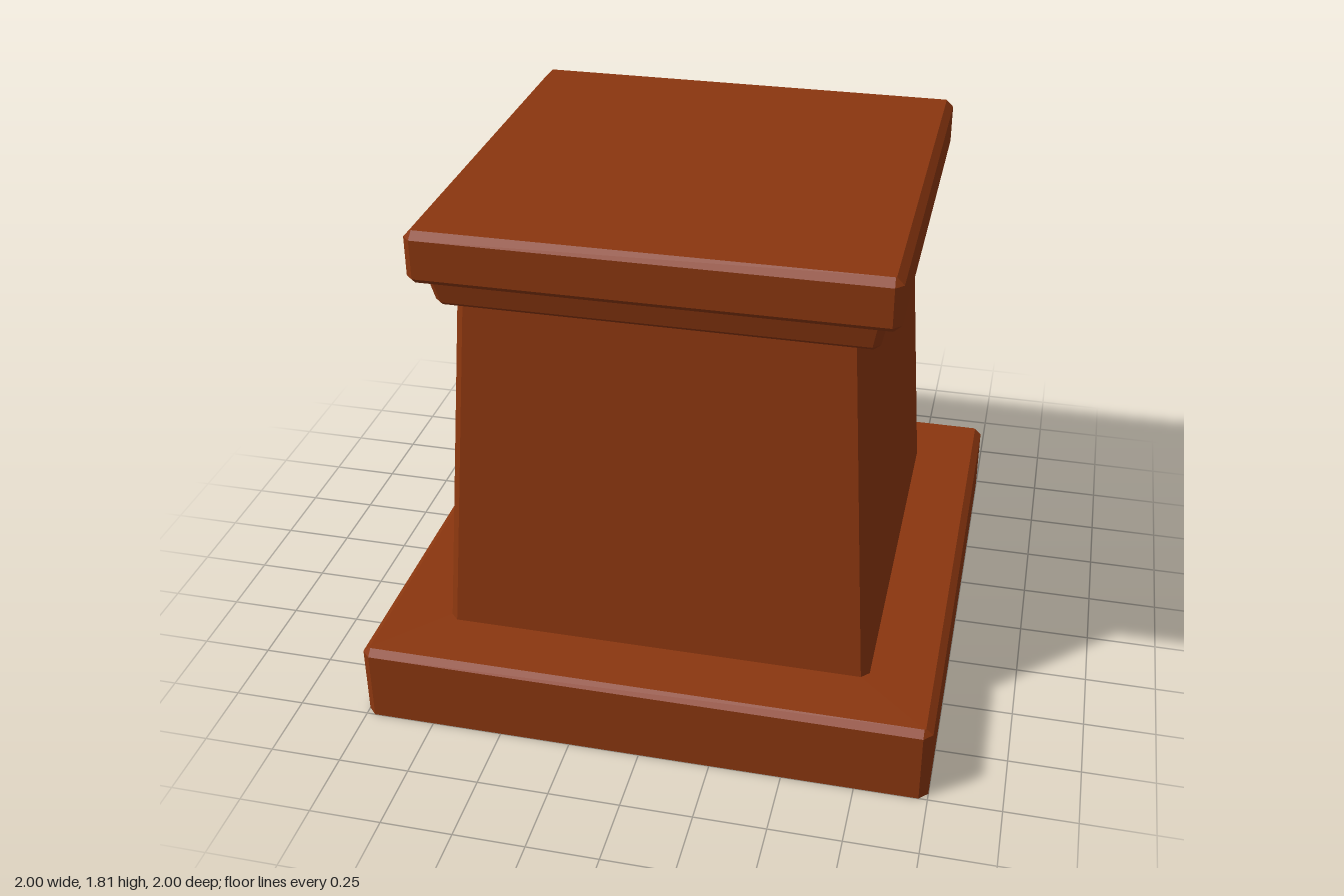
import * as THREE from 'three';

const material = new THREE.MeshStandardMaterial({ color: 0x8a360f, flatShading: true, side: THREE.DoubleSide });

// Square cross-section with cut corners, counter-clockwise from above
function ring([half, cut, y]) {
  const inner = half - cut;
  const points = [];
  for (let q = 0; q < 4; q++) {
    const turn = q * Math.PI / 2;
    for (const [u, v] of [[half, inner], [inner, half]]) {
      const x = u * Math.cos(turn) - v * Math.sin(turn);
      const z = -(u * Math.sin(turn) + v * Math.cos(turn));
      points.push(new THREE.Vector3(x, y, z));
    }
  }
  return points;
}

// Open shell through sections of [half width, corner cut, height]
function shell(name, sections, closedTop = false) {
  const rings = sections.map(ring);
  const positions = [];
  const triangle = (a, b, c) => {
    if (new THREE.Triangle(a, b, c).getArea() < 1e-7) return;
    for (const p of [a, b, c]) positions.push(p.x, p.y, p.z);
  };
  for (let k = 0; k < rings.length - 1; k++) {
    for (let i = 0; i < 8; i++) {
      const j = (i + 1) % 8;
      triangle(rings[k][i], rings[k][j], rings[k + 1][j]);
      triangle(rings[k][i], rings[k + 1][j], rings[k + 1][i]);
    }
  }
  if (closedTop) {
    const top = rings[rings.length - 1];
    const centre = new THREE.Vector3(0, top[0].y, 0);
    for (let i = 0; i < 8; i++) triangle(centre, top[i], top[(i + 1) % 8]);
  }
  const geometry = new THREE.BufferGeometry();
  geometry.setAttribute('position', new THREE.Float32BufferAttribute(positions, 3));
  geometry.computeVertexNormals();
  const mesh = new THREE.Mesh(geometry, material);
  mesh.name = name;
  return mesh;
}

export function createModel() {
  const group = new THREE.Group();
  group.name = 'pedestal';

  // Hollow plinth, open below and into the shaft
  group.add(shell('plinth', [
    [1, 0.03, 0], [1, 0.03, 0.258], [0.975, 0.005, 0.28], [0.755, 0.027, 0.28],
  ]));

  // Tapered shaft
  group.add(shell('shaft', [[0.755, 0.027, 0.28], [0.672, 0.027, 1.527]]));

  // Flared moulding under the cap
  group.add(shell('moulding', [
    [0.672, 0.027, 1.527], [0.705, 0.005, 1.527], [0.724, 0.024, 1.543], [0.742, 0.026, 1.628],
  ]));

  // Bevelled cap slab
  group.add(shell('cap', [
    [0.742, 0.026, 1.628], [0.766, 0.003, 1.628], [0.79, 0.026, 1.65],
    [0.79, 0.026, 1.785], [0.765, 0.003, 1.81],
  ], true));

  return group;
}
